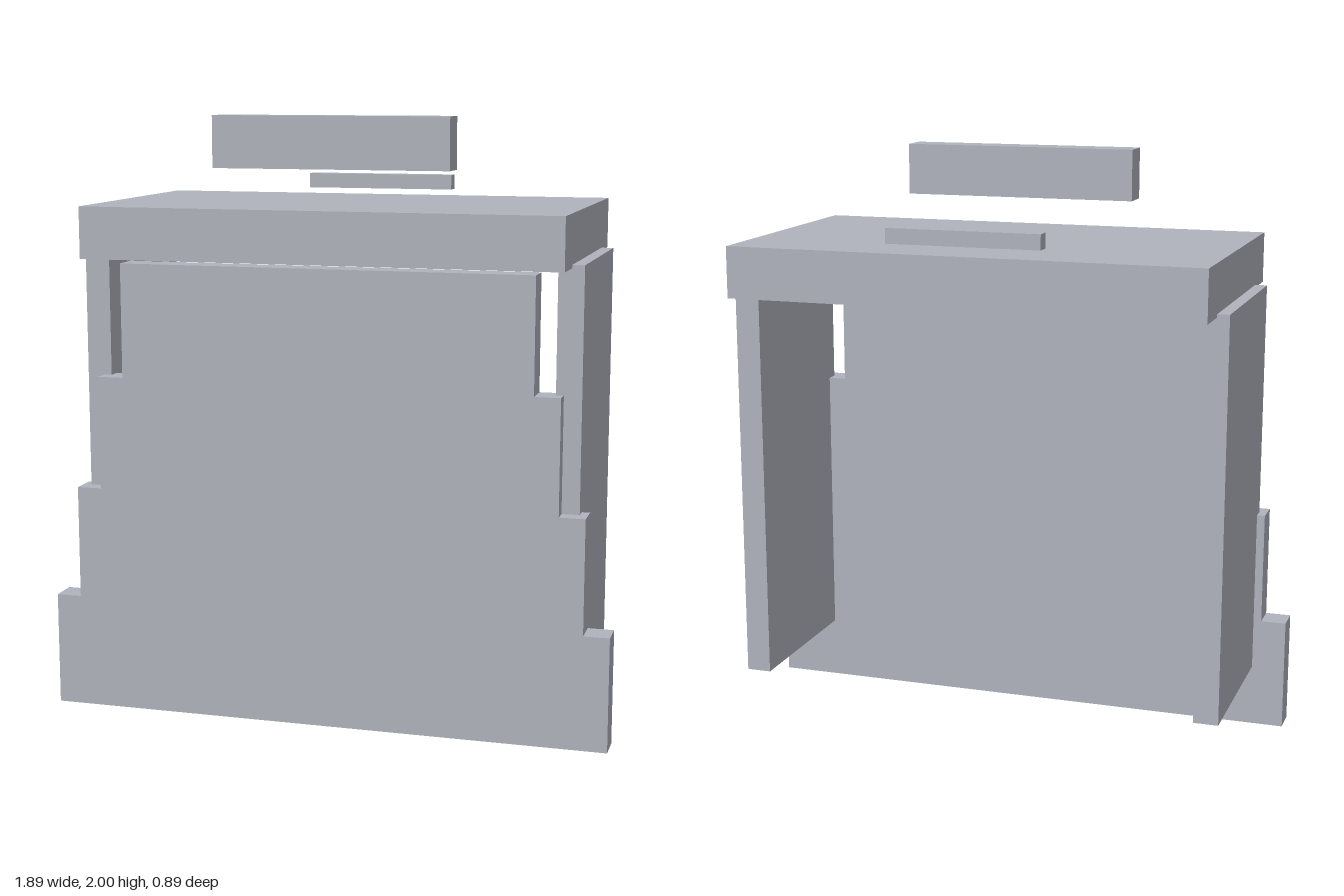
import * as THREE from 'three';

export function createModel() {
  const group = new THREE.Group();
  const grey = new THREE.MeshStandardMaterial({ color: 0xb0b3bd });
  grey.name = 'plain grey';

  const add = (name, geometry) => {
    const mesh = new THREE.Mesh(geometry, grey);
    mesh.name = name;
    group.add(mesh);
    return mesh;
  };

  // Box given by its lower and upper limits on each axis
  const box = (name, [x0, x1], [y0, y1], [z0, z1]) =>
    add(name, new THREE.BoxGeometry(x1 - x0, y1 - y0, z1 - z0))
      .position.set((x0 + x1) / 2, (y0 + y1) / 2, (z0 + z1) / 2);

  // Stepped front panel: four tiers, each narrower than the one below
  const tiers = 4, tierHeight = 0.38;
  const right = [];
  for (let i = 0; i < tiers; i++) {
    const halfWidth = 0.945 - i * 0.085;
    right.push([halfWidth, i * tierHeight], [halfWidth, (i + 1) * tierHeight]);
  }
  const left = right.map(([x, y]) => [-x, y]).reverse();
  const outline = new THREE.Shape([...right, ...left].map(([x, y]) => new THREE.Vector2(x, y)));
  add('steppedFrontPanel', new THREE.ExtrudeGeometry(outline, { depth: 0.095, bevelEnabled: false }))
    .position.z = 0.265;

  // Side panels
  box('leftSidePanel', [0.75, 0.833], [0.21, 1.55], [-0.308, 0.308]);
  box('rightSidePanel', [-0.833, -0.75], [0.21, 1.55], [-0.308, 0.308]);

  // Top slab and the two bars floating above it
  box('topSlab', [-0.793, 0.793], [1.54, 1.71], [-0.447, 0.447]);
  box('frontBar', [-0.395, 0.395], [1.83, 2.0], [0.174, 0.274]);
  box('rearBar', [-0.257, 0.257], [1.735, 1.785], [-0.405, -0.355]);

  return group;
}
